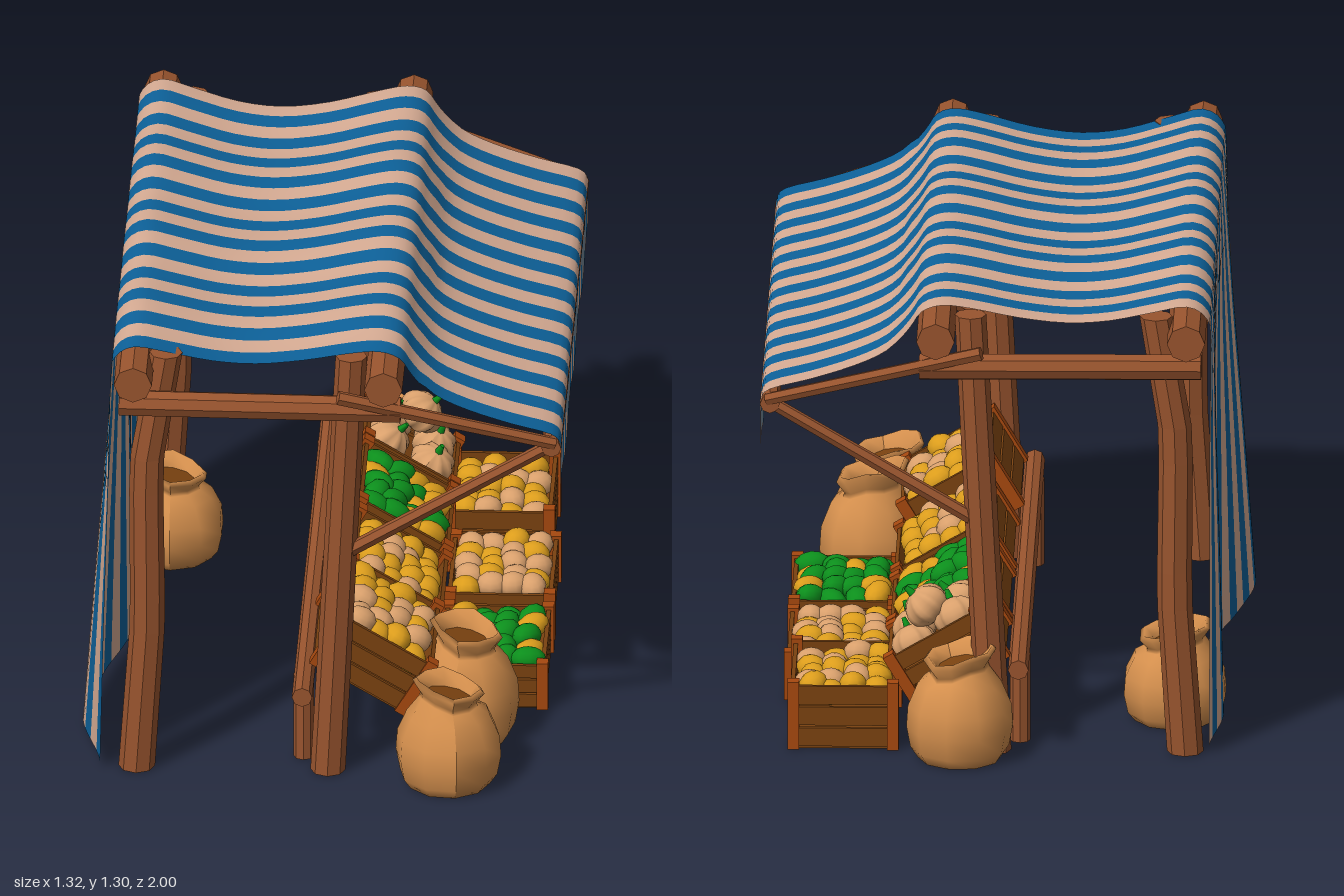
import * as THREE from 'three';

const mat = (name, color, extra = {}) => {
  const m = new THREE.MeshStandardMaterial({ color, ...extra });
  m.name = name;
  return m;
};
const V = (x, y, z) => new THREE.Vector3(x, y, z);

export function createModel() {
  const root = new THREE.Group();
  root.name = 'marketStall';
  const M = {
    timber: mat('timber', 0x98542e),
    slat: mat('crateSlat', 0x7a4210),
    corner: mat('crateCorner', 0xa6480f),
    blue: mat('blueCloth', 0x0d6199, { side: THREE.DoubleSide }),
    pink: mat('paleCloth', 0xd6ab93, { side: THREE.DoubleSide }),
    sack: mat('sackcloth', 0xd48f4d),
    yellow: mat('yellowFruit', 0xdc9d1c),
    peach: mat('peachFruit', 0xd9a06c),
    green: mat('greenVegetable', 0x0c8f1c),
  };
  let seed = 7;
  const rnd = () => (seed = (seed * 16807) % 2147483647) / 2147483647;
  const add = (parent, name, geo, material) => {
    const m = new THREE.Mesh(geo, material);
    m.name = name;
    parent.add(m);
    return m;
  };
  const flat = (g) => {
    const f = g.toNonIndexed();
    f.computeVertexNormals();
    return f;
  };

  // Straight faceted pole between two points
  const pole = (name, a, b, r, rTop = r, sides = 8) => {
    const d = b.clone().sub(a);
    const m = add(root, name, flat(new THREE.CylinderGeometry(rTop, r, d.length(), sides)), M.timber);
    m.position.copy(a).addScaledVector(d, 0.5);
    m.quaternion.setFromUnitVectors(V(0, 1, 0), d.normalize());
  };

  // Upright post whose centre line follows (x, y) points
  const bentPost = (name, pts, z, r) => {
    const h = pts[pts.length - 1][1];
    const g = new THREE.CylinderGeometry(r * 0.9, r, h, 8, 12);
    g.translate(0, h / 2, 0);
    const p = g.attributes.position;
    for (let i = 0; i < p.count; i++) {
      const y = p.getY(i);
      let k = 0;
      while (k < pts.length - 2 && y > pts[k + 1][1]) k++;
      const [x0, y0] = pts[k], [x1, y1] = pts[k + 1];
      p.setX(i, p.getX(i) + x0 + (x1 - x0) * (y - y0) / (y1 - y0));
    }
    add(root, name, flat(g), M.timber).position.z = z;
  };

  // Frame
  for (const s of [1, -1]) {
    bentPost('rearPost', [[-0.505, 0], [-0.475, 0.45], [-0.48, 0.92], [-0.425, 1.26]], s * 0.8, 0.05);
    bentPost('frontPost', [[0.018, 0], [0.082, 1.26]], s * 0.8, 0.048);
    pole('sideBeam', V(-0.55, 1.135, s * 0.865), V(0.22, 1.13, s * 0.865), 0.037);
    pole('rafter', V(0.05, 1.185, s * 0.91), V(0.64, 1.015, s * 0.82), 0.02, 0.018, 6);
    pole('brace', V(0.08, 0.675, s * 0.81), V(0.62, 1.0, s * 0.81), 0.02, 0.018, 6);
    pole('shelfLeg', V(-0.052, 0, s * 0.72), V(-0.052, 0.25, s * 0.72), 0.028);
  }
  pole('rearCrossbeam', V(-0.51, 1.22, -0.92), V(-0.51, 1.22, 0.93), 0.052);
  pole('frontCrossbeam', V(0.175, 1.22, -0.92), V(0.175, 1.22, 0.93), 0.052);
  pole('eavePole', V(0.63, 1.005, -0.83), V(0.63, 1.005, 0.83), 0.027);
  pole('shelfRail', V(-0.05, 0.25, -0.86), V(-0.05, 0.25, 0.87), 0.028);

  // Striped cloth: one profile from the back hem over the beams to the front hem
  const profile = new THREE.SplineCurve([
    [-0.57, 0.02], [-0.572, 0.45], [-0.572, 0.85], [-0.575, 1.18], [-0.565, 1.26], [-0.51, 1.295],
    [-0.42, 1.275], [-0.3, 1.245], [-0.18, 1.235], [-0.05, 1.25], [0.08, 1.28], [0.16, 1.292],
    [0.215, 1.275], [0.25, 1.225], [0.31, 1.16], [0.4, 1.115], [0.52, 1.075], [0.63, 1.045],
    [0.655, 1.01], [0.655, 0.95], [0.655, 0.87],
  ].map((p) => new THREE.Vector2(...p)));
  const sway = new THREE.SplineCurve([0, 0.035, 0, -0.018, 0.05, 0.095, 0.035]
    .map((w, i) => new THREE.Vector2(i, w)));
  const NU = 60, NZ = 72, pos = [], idx = [];
  for (let j = 0; j <= NZ; j++) {
    for (let i = 0; i <= NU; i++) {
      const t = i / NU, p = profile.getPoint(t);
      let z = -0.82 + 1.645 * j / NZ;
      if (p.x < -0.5) p.x -= sway.getPoint(j / NZ).y * Math.max(0, 1 - p.y / 1.22);
      if (p.y > 1.2) p.y += 0.012 * Math.cos(z * 1.9) - 0.006 + 0.004 * Math.sin(z * 14);
      if (t > 0.9) p.y += (t - 0.9) * 0.22 * Math.cos((z - 0.25) * Math.PI * 4);
      if (p.x > -0.5 && p.x < 0.2) z *= 1 - 0.04 * Math.sin((p.x + 0.5) / 0.7 * Math.PI);
      pos.push(p.x, p.y, z);
    }
  }
  const cloth = new THREE.BufferGeometry();
  for (let j = 0; j < NZ; j++) {
    for (let i = 0; i < NU; i++) {
      const a = j * (NU + 1) + i, b = a + NU + 1;
      idx.push(a, b, a + 1, b, b + 1, a + 1);
    }
  }
  cloth.setAttribute('position', new THREE.Float32BufferAttribute(pos, 3));
  cloth.setIndex(idx);
  cloth.computeVertexNormals();
  const perStripe = NU * 6 * NZ / 24;
  for (let s = 0; s < 24; s++) cloth.addGroup(s * perStripe, perStripe, s % 2);
  add(root, 'stripedCanopy', cloth, [M.pink, M.blue]);

  // Crate: slatted walls, corner posts, floor and an inner board under the produce
  const crate = (name, x, y, z, tilt, d, h, w) => {
    const g = new THREE.Group();
    g.name = name;
    g.position.set(x, y, z);
    g.rotation.z = tilt;
    root.add(g);
    const box = (n, sx, sy, sz, px, py, pz, m = M.slat) =>
      add(g, n, new THREE.BoxGeometry(sx, sy, sz), m).position.set(px, py, pz);
    box('crateFloor', d - 0.02, 0.012, w - 0.02, 0, 0.008, 0);
    box('innerBoard', d - 0.03, 0.01, w - 0.03, 0, h * 0.55, 0);
    for (const s of [1, -1]) {
      for (let k = 0; k < 3; k++) {
        const py = h * (0.18 + 0.31 * k), sh = h * 0.27;
        box('endSlat', 0.012, sh, w - 0.02, s * (d / 2 - 0.012), py, 0);
        box('sideSlat', d - 0.02, sh, 0.012, 0, py, s * (w / 2 - 0.012));
      }
      for (const q of [1, -1])
        box('cornerPost', 0.032, h, 0.036, s * (d / 2 - 0.014), h / 2, q * (w / 2 - 0.018), M.corner);
    }
    return g;
  };

  // Produce heaped in a jittered grid
  const ball = new THREE.SphereGeometry(1, 10, 8);
  const fill = (g, name, d, h, w, r, long, mats) => {
    const nx = 4, nz = 5;
    for (let i = 0; i < nx; i++) {
      for (let j = 0; j < nz; j++) {
        const m = add(g, name, ball, mats[Math.floor(rnd() * mats.length)]);
        m.scale.set(r, r * 0.95, r * long);
        m.rotation.set(rnd() - 0.5, rnd() * 3, 0);
        m.position.set(((i + 0.5) / nx - 0.5) * (d - 0.06) + (rnd() - 0.5) * 0.015,
          h * 0.55 + r * (0.9 + rnd() * 0.7),
          ((j + 0.5) / nz - 0.5) * (w - 0.07) + (rnd() - 0.5) * 0.015);
      }
    }
  };
  const fruit = [M.yellow, M.yellow, M.peach];
  const veg = [M.green, M.green, M.green, M.green, M.yellow];
  const T = -0.54;
  for (const [n, x, y, z, tilt, h, w, r, long, mats] of [
    ['tiltedFruitCrate', 0.095, 0.22, 0.555, T, 0.18, 0.4, 0.04, 1.2, fruit],
    ['tiltedFruitCrate', 0.105, 0.18, 0.15, T, 0.17, 0.39, 0.041, 1.05, fruit],
    ['tiltedVegetableCrate', 0.105, 0.18, -0.27, T, 0.17, 0.39, 0.036, 1.45, veg],
    ['lowVegetableCrate', 0.45, 0, 0.215, 0, 0.14, 0.39, 0.036, 1.4, veg],
    ['lowFruitCrate', 0.45, 0, -0.22, 0, 0.14, 0.39, 0.038, 1.15, fruit],
    ['lowFruitCrate', 0.43, 0, -0.625, 0, 0.195, 0.39, 0.038, 1.15, fruit],
  ]) fill(crate(n, x, y, z, tilt, 0.3, h, w), 'produce', 0.3, h, w, r, long, mats);

  // Ribbed pumpkins with stems
  const ribbed = new THREE.SphereGeometry(1, 32, 10);
  const rp = ribbed.attributes.position;
  for (let i = 0; i < rp.count; i++) {
    const a = Math.atan2(rp.getZ(i), rp.getX(i)), k = 0.93 + 0.08 * Math.cos(a * 8);
    rp.setXYZ(i, rp.getX(i) * k, rp.getY(i) * 0.78, rp.getZ(i) * k);
  }
  ribbed.computeVertexNormals();
  const pumpkins = crate('pumpkinCrate', 0.105, 0.18, -0.62, T, 0.3, 0.17, 0.3);
  for (const [x, y, z, r] of [[0.07, 0.145, 0.065, 0.066], [0.07, 0.145, -0.068, 0.064],
    [-0.07, 0.145, 0.065, 0.066], [-0.07, 0.15, -0.065, 0.068], [-0.01, 0.215, -0.05, 0.066]]) {
    const g = new THREE.Group();
    g.name = 'pumpkin';
    g.position.set(x, y, z);
    g.scale.setScalar(r);
    g.rotation.set(rnd() * 0.4 - 0.2, rnd() * 3, 0.3);
    add(g, 'pumpkinBody', ribbed, M.peach);
    add(g, 'pumpkinStem', new THREE.CylinderGeometry(0.1, 0.2, 0.5, 6), M.green).position.y = 0.9;
    pumpkins.add(g);
  }

  // Open sacks with a slumped, flared mouth
  const sack = (x, z, h, turn) => {
    const shape = [[0, 0], [0.115, 0], [0.135, 0.03], [0.146, 0.09], [0.142, 0.15], [0.115, 0.215], [0.082, 0.25],
      [0.078, 0.262], [0.1, 0.295], [0.088, 0.306], [0.066, 0.275], [0.06, 0.25]];
    const g = new THREE.LatheGeometry(shape.map((p) => new THREE.Vector2(...p)), 10);
    const p = g.attributes.position;
    for (let i = 0; i < p.count; i++) {
      const px = p.getX(i), py = p.getY(i), a = Math.atan2(p.getZ(i), px);
      if (py > 0.24) p.setY(i, py - px * 0.22 + 0.008 * Math.sin(a * 3));
    }
    g.computeVertexNormals();
    const s = new THREE.Group();
    s.name = 'sack';
    add(s, 'sackBody', g, M.sack);
    const inside = add(s, 'sackInside', new THREE.CylinderGeometry(0.068, 0.068, 0.006, 10), M.slat);
    inside.position.y = 0.262;
    inside.rotation.z = -0.21;
    s.position.set(x, 0, z);
    s.scale.y = h / 0.31;
    s.rotation.y = turn;
    root.add(s);
  };
  sack(0.35, 0.855, 0.3, 0.2);
  sack(0.385, 0.565, 0.335, -0.2);
  sack(0.11, -0.86, 0.31, 0.4);
  sack(-0.47, -0.52, 0.265, 0);

  return root;
}
